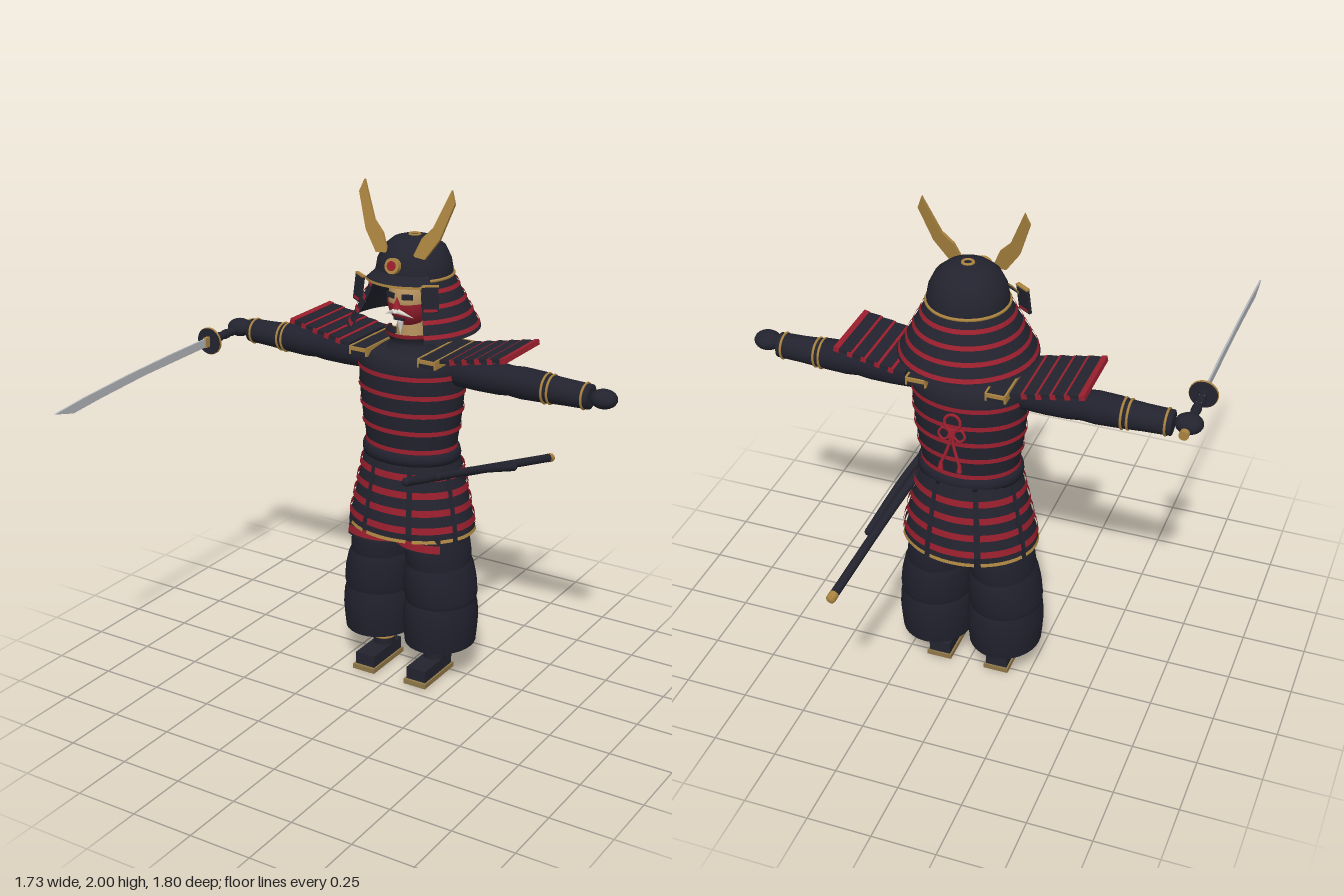
import * as THREE from 'three';

const paint = (name, color) => Object.assign(new THREE.MeshStandardMaterial({ color, side: THREE.DoubleSide }), { name });
const V = (x, y, z) => new THREE.Vector3(x, y, z);

export function createModel() {
  const model = new THREE.Group();
  model.name = 'armouredWarrior';
  const dark = paint('lacquerBlack', 0x22232e), cloth = paint('indigoCloth', 0x20212d), red = paint('lacingRed', 0x9a1f2e);
  const gold = paint('gold', 0xab8440), skin = paint('skin', 0xb8935f), white = paint('hairWhite', 0xe4e0d8);
  const steel = paint('bladeSteel', 0xb4b7bc), straw = paint('straw', 0x8f7748);
  const Z = -0.22, HZ = -0.232; // body axis, helmet axis

  const add = (name, geo, mat, x = 0, y = 0, z = 0, parent = model) => {
    const m = new THREE.Mesh(geo, mat);
    m.name = name;
    m.position.set(x, y, z);
    parent.add(m);
    return m;
  };
  const box = (w, h, d) => new THREE.BoxGeometry(w, h, d);
  const lathe = (pts, seg = 32, start = 0, len = Math.PI * 2) =>
    new THREE.LatheGeometry(pts.map(p => new THREE.Vector2(p[0], p[1])), seg, start, len);
  // open frustum strip, angle 0 faces the front
  const strip = (rTop, rBot, yTop, yBot, seg = 32, start = 0, len = Math.PI * 2) =>
    new THREE.CylinderGeometry(rTop, rBot, yTop - yBot, seg, 1, true, start, len).translate(0, (yTop + yBot) / 2, 0);
  const tube = (pts, r, seg = 24) => new THREE.TubeGeometry(new THREE.CatmullRomCurve3(pts), seg, r, 10);
  const extrude = (pts, depth) => new THREE.ExtrudeGeometry(
    new THREE.Shape(pts.map(p => new THREE.Vector2(p[0], p[1]))), { depth, bevelEnabled: false });

  // Legs, feet and thigh guards
  const legProfile = [[0, .15], [.15, .15], [.153, .151], [.158, .2], [.162, .25], [.158, .31], [.15, .338], [.149, .342],
    [.156, .36], [.16, .42], [.156, .475], [.148, .498], [.147, .502], [.152, .53], [.152, .58], [.14, .66]];
  const legCentre = y => y < .34 ? .14 : .142 - (y - .34) * .085;
  for (const s of [1, -1]) {
    const leg = lathe(legProfile, 32), p = leg.attributes.position;
    for (let i = 0; i < p.count; i++) {
      const c = legCentre(p.getY(i));
      p.setX(i, p.getX(i) * c / .153 + s * c);
    }
    leg.computeVertexNormals();
    add('trouserLeg', leg, cloth, 0, 0, Z);
    add('sandalSole', box(.1, .02, .23), straw, s * .12, .01, -.165);
    add('foot', box(.086, .05, .21), dark, s * .12, .045, -.168);
    add('shin', new THREE.CylinderGeometry(.05, .044, .12, 16), dark, s * .12, .115, -.21);
    add('shinTrim', new THREE.TorusGeometry(.048, .005, 6, 20).rotateX(Math.PI / 2), gold, s * .12, .105, -.21);
    const guard = add('thighGuard', strip(.165, .172, .66, .58, 10, -.6, 1.2), dark, s * .115, 0, Z);
    const hem = add('thighGuardLacing', strip(.17, .174, .622, .59, 10, -.58, 1.16), red, s * .115, 0, Z);
    guard.scale.z = hem.scale.z = .93;
  }

  // Skirt: eight hanging panels of four lames
  const skirt = new THREE.Group();
  skirt.name = 'skirt';
  skirt.position.z = Z - .008;
  skirt.scale.z = .81;
  model.add(skirt);
  const skirtR = y => .195 + (.95 - y) * .215;
  add('skirtLining', strip(.18, .235, .95, .65), dark, 0, 0, 0, skirt);
  for (let k = 0; k < 8; k++) {
    const a = k * Math.PI / 4 - .345;
    for (let i = 0; i < 4; i++) {
      const yb = .87 - i * .0683, yt = i ? yb + .07 : .945;
      add('skirtLame', strip(skirtR(yt) - .006, skirtR(yb), yt, yb, 6, a, .69), dark, 0, 0, 0, skirt);
      add('skirtLacing', strip(skirtR(yb) + .001, skirtR(yb) + .006, yb + .03, yb + .003, 6, a, .69), red, 0, 0, 0, skirt);
    }
    add('skirtEdge', strip(skirtR(.66), skirtR(.64), .668, .643, 6, a, .69), dark, 0, 0, 0, skirt);
    add('skirtTrim', strip(skirtR(.64), skirtR(.63) + .002, .643, .63, 6, a, .69), gold, 0, 0, 0, skirt);
  }

  // Cuirass, lacing rows and belt
  const torsoR = y => .18 + .036 * Math.sin(Math.min(1, Math.max(0, (y - .95) / .33)) * Math.PI / 2);
  const rows = [.95, 1.0, 1.06, 1.12, 1.18, 1.24, 1.3];
  const cuirass = add('cuirass', lathe([...rows.map(y => [torsoR(y), y]), [.214, 1.34], [.19, 1.358], [.1, 1.37], [0, 1.375]], 40), dark, 0, 0, Z);
  cuirass.scale.z = .78;
  for (const y of [.985, 1.063, 1.138, 1.212, 1.287])
    add('cuirassLacing', strip(torsoR(y) + .004, torsoR(y) + .005, y + .009, y - .009, 40), red, 0, 0, Z).scale.z = .78;
  add('belt', lathe([[.18, .925], [.2, .93], [.203, .95], [.198, .97], [.18, .975]]), cloth, 0, 0, Z).scale.z = .8;
  for (const s of [1, -1]) {
    add('shoulderStrap', box(.07, .03, .3), dark, s * .15, 1.357, Z);
    for (const e of [-.036, .036]) add('strapTrim', box(.007, .034, .304), gold, s * .15 + e, 1.358, Z);
    for (const e of [-.152, .152]) add('strapEnd', box(.07, .014, .008), gold, s * .15, 1.366, Z + e);
  }

  // Arms, bracers, hands and shoulder guards
  for (const s of [1, -1]) {
    const turn = g => g.rotateZ(-s * Math.PI / 2);
    add('sleeve', turn(lathe([[.05, .15], [.06, .2], [.063, .3], [.062, .38], [.057, .43], [.061, .48], [.058, .56], [.053, .59]], 24)), cloth, 0, 1.302, Z);
    add('bracer', turn(lathe([[.045, .56], [.055, .575], [.05, .66], [.047, .755], [.03, .757], [0, .757]], 20)), dark, 0, 1.3, Z);
    for (const [x, r] of [[.578, .056], [.6, .054], [.735, .048]])
      add('bracerTrim', new THREE.TorusGeometry(r, .005, 6, 24).rotateY(Math.PI / 2), gold, s * x, 1.3, Z);
    add('hand', new THREE.SphereGeometry(1, 20, 14).scale(.052, .036, .047), dark, s * .81, 1.305, -.212);
    const guard = new THREE.Group();
    guard.name = 'shoulderGuard';
    guard.position.set(s * .21, 1.368, Z);
    guard.rotation.z = s * .2;
    model.add(guard);
    for (let i = 0; i < 5; i++) {
      const lame = add('shoulderLame', box(.062, .014, .272), dark, s * (.02 + i * .053), .004, 0, guard);
      lame.rotation.z = -s * .1;
      add('shoulderLacing', box(.021, .02, .276), red, s * (.042 + i * .0535), .002, 0, guard);
    }
  }

  // Neck, head and face mask
  add('neck', new THREE.CylinderGeometry(.058, .065, .16, 20), skin, 0, 1.43, Z);
  add('throatGuard', lathe([[.115, 1.355], [.082, 1.385], [.092, 1.41], [.102, 1.435]], 20, -1.7, 3.4), dark, 0, 0, Z);
  add('throatLacing', strip(.105, .1, 1.437, 1.42, 20, -1.65, 3.3), red, 0, 0, Z);
  add('head', new THREE.SphereGeometry(1, 28, 20).scale(.085, .118, .11), skin, 0, 1.568, Z);
  add('faceMask', new THREE.SphereGeometry(1, 24, 14, Math.PI / 2 - 1.2, 2.4, 1.66, 1.2).scale(.09, .122, .116), red, 0, 1.568, Z);
  add('maskNose', new THREE.ConeGeometry(.018, .045, 8), red, 0, 1.565, Z + .115);
  add('mouth', box(.045, .01, .008), dark, 0, 1.497, Z + .099);
  add('beard', new THREE.ConeGeometry(.015, .055, 10).rotateX(Math.PI), white, 0, 1.462, Z + .09);
  for (const s of [1, -1]) {
    add('eye', box(.042, .02, .009), dark, s * .036, 1.586, Z + .1).rotation.y = s * .35;
    const hair = add('moustache', new THREE.ConeGeometry(.011, .07, 8).rotateZ(-s * 1.95), white, s * .035, 1.52, Z + .108);
    hair.rotation.y = s * .4;
  }

  // Helmet bowl, rim, crown ring and visor
  add('helmetBowl', lathe([[.147, 1.645], [.147, 1.67], [.14, 1.71], [.118, 1.755], [.082, 1.785], [.04, 1.798], [0, 1.801]], 36), dark, 0, 0, HZ);
  add('helmetRim', new THREE.TorusGeometry(.149, .006, 6, 40).rotateX(Math.PI / 2), gold, 0, 1.655, HZ);
  add('crownRing', new THREE.TorusGeometry(.019, .006, 8, 20).rotateX(Math.PI / 2), gold, 0, 1.799, HZ);
  add('visor', strip(.145, .186, 1.675, 1.64, 20, -.9, 1.8), dark, 0, 0, HZ);
  add('visorTrim', strip(.187, .188, 1.647, 1.637, 20, -.9, 1.8), gold, 0, 0, HZ);

  // Neck guard: four flaring lames, open at the face
  const flare = y => .15 + (1.65 - y) * .52, open = .68, span = Math.PI * 2 - 2 * open;
  for (let i = 0; i < 4; i++) {
    const yt = 1.65 - i * .05, yb = yt - .052;
    add('neckGuardLame', strip(flare(yt) - .004, flare(yb), yt, yb, 36, open, span), dark, 0, 0, HZ);
    add('neckGuardLacing', strip(flare(yb + .029) + .004, flare(yb + .014) + .004, yb + .029, yb + .014, 36, open, span), red, 0, 0, HZ);
  }

  // Turnbacks and crest horns
  const horn = [[.055, 0], [.105, -.005], [.16, .075], [.205, .21], [.187, .258], [.127, .115], [.085, .072]];
  for (const s of [1, -1]) {
    const flap = new THREE.Group();
    flap.name = 'turnback';
    flap.position.set(s * .155, 1.605, -.085);
    flap.rotation.set(-.15, s * .6, s * .1);
    model.add(flap);
    add('turnbackPlate', box(.062, .1, .012), dark, 0, 0, 0, flap);
    add('turnbackTrim', box(.064, .007, .015), gold, 0, .05, 0, flap);
    add('turnbackLacing', box(.05, .01, .016), red, 0, -.04, 0, flap);
    add('crestHorn', extrude(horn.map(p => [s * p[0], p[1]]), .012).rotateX(-.2), gold, 0, 1.742, -.137);
  }

  // Round crest badge
  const badge = new THREE.Group();
  badge.name = 'crestBadge';
  badge.position.set(0, 1.712, -.075);
  badge.rotation.x = -.25;
  model.add(badge);
  add('badgeDisc', new THREE.CylinderGeometry(.03, .03, .02, 24).rotateX(Math.PI / 2), gold, 0, 0, 0, badge);
  add('badgeCentre', new THREE.CylinderGeometry(.018, .018, .006, 20).rotateX(Math.PI / 2), red, 0, 0, .011, badge);

  // Knotted cord on the back
  const knot = new THREE.Group();
  knot.name = 'backCord';
  knot.position.set(0, 1.24, -.402);
  knot.rotation.x = .16;
  model.add(knot);
  add('cordRing', new THREE.TorusGeometry(.03, .006, 8, 24), red, 0, 0, 0, knot);
  add('cordKnot', box(.025, .025, .014), red, 0, -.04, 0, knot);
  for (const s of [1, -1]) {
    add('cordLoop', tube([V(0, -.04, 0), V(s * .035, -.025, 0), V(s * .05, -.05, 0), V(s * .03, -.07, 0), V(0, -.045, 0)], .005), red, 0, 0, 0, knot);
    add('cordTail', tube([V(0, -.04, 0), V(s * .012, -.1, 0), V(s * .035, -.165, 0)], .006, 10), red, 0, 0, 0, knot);
    add('cordTassel', new THREE.CylinderGeometry(.006, .011, .03, 8), red, s * .036, -.175, 0, knot);
  }

  // Drawn sword in the right hand
  const sx = -.81, sy = 1.302;
  const along = (r, len) => new THREE.CylinderGeometry(r, r, len, 24).rotateX(Math.PI / 2);
  const blade = [[0, 1.285], [.4, 1.279], [.65, 1.266], [.81, 1.254], [.905, 1.28], [.75, 1.294], [.5, 1.308], [.25, 1.316], [0, 1.319]];
  add('blade', extrude(blade, .007).rotateY(-Math.PI / 2), steel, sx + .0035, 0, 0);
  add('bladeCollar', box(.014, .04, .025), gold, sx, sy, .012);
  add('swordGuard', along(.053, .014), dark, sx, sy, -.008);
  add('swordGuardRim', along(.055, .008), gold, sx, sy, -.008);
  add('grip', along(.016, .27), dark, sx, sy, -.145);
  add('pommel', along(.018, .022), gold, sx, sy, -.28);
  for (let i = 0; i < 5; i++)
    for (const a of [0, Math.PI / 2])
      add('gripDiamond', box(.018, .034, .018).rotateX(Math.PI / 4).scale(1, .7, .8).rotateZ(a).scale(1.05, 1.05, 1), white, sx, sy, -.04 - i * .048);
  for (let i = 0; i < 6; i++) add('gripWrap', along(.0185, .02), dark, sx, sy, -.018 - i * .048);

  // Long and short scabbards at the left hip
  const scabbard = (name, a, m, b, r) => {
    const curve = new THREE.CatmullRomCurve3([a, m, b]);
    add(name, tube([a, m, b], r, 30), dark);
    add(name + 'Mouth', new THREE.SphereGeometry(r, 12, 8), dark, a.x, a.y, a.z);
    return curve;
  };
  const long = scabbard('longScabbard', V(.153, .938, .075), V(.222, .84, -.4), V(.278, .734, -.89), .017);
  add('scabbardTip', tube([long.getPointAt(.975), long.getPointAt(.988), long.getPointAt(1)], .0185, 4), gold);
  add('scabbardCap', new THREE.SphereGeometry(.0183, 12, 8).scale(1, 1, .5), gold, .278, .734, -.89);
  scabbard('shortScabbard', V(.2, .915, -.08), V(.24, .865, -.33), V(.27, .8, -.565), .015);
  add('shortScabbardCap', new THREE.SphereGeometry(.0155, 12, 8), dark, .27, .8, -.565);
  add('scabbardCord', new THREE.TorusGeometry(.021, .006, 8, 16), cloth, .2, .873, -.24);

  return model;
}
